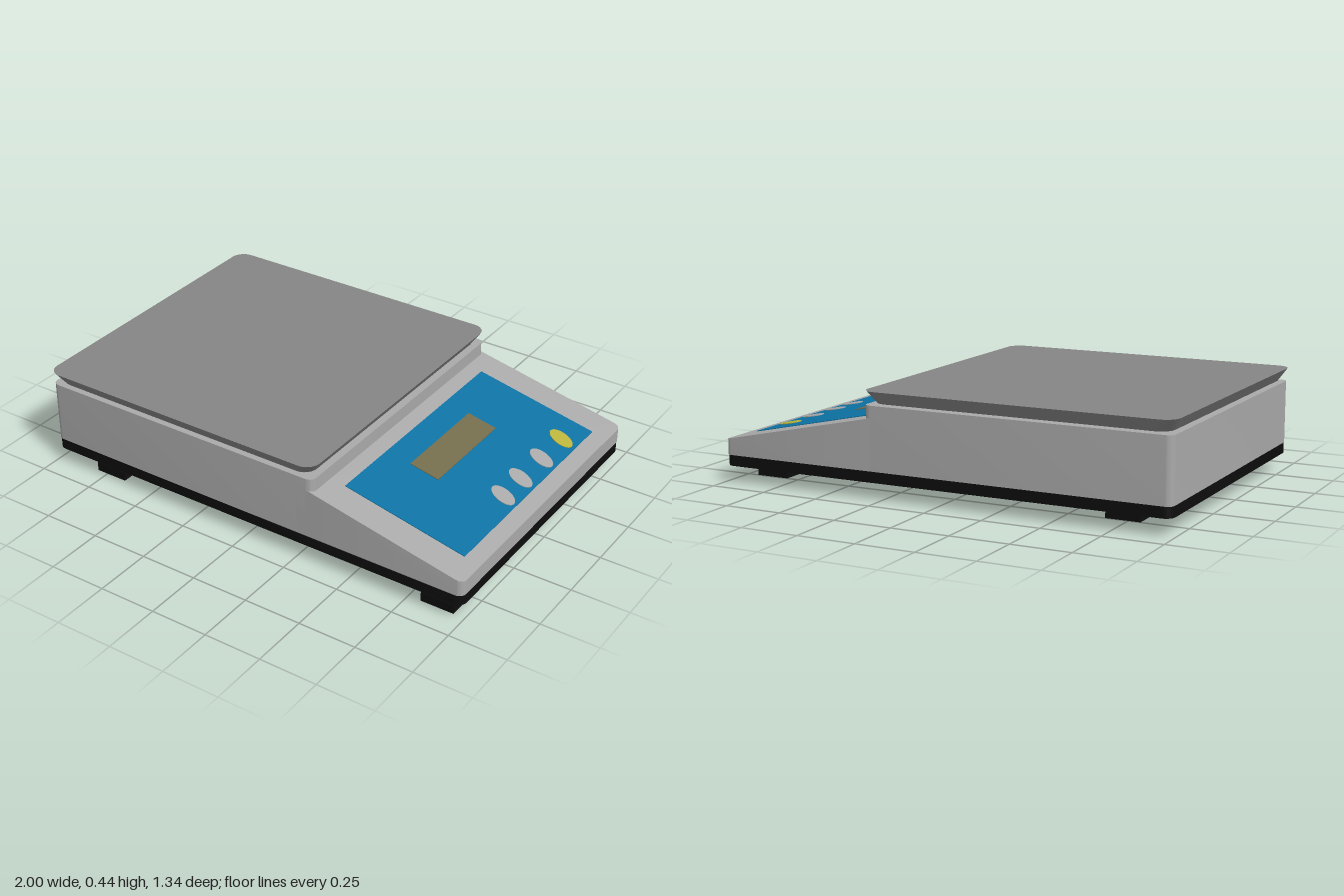
import * as THREE from 'three';
import { toCreasedNormals } from 'three/addons/utils/BufferGeometryUtils.js';

const material = (name, color) => {
  const m = new THREE.MeshStandardMaterial({ color });
  m.name = name;
  return m;
};

// Upright slab with rounded corners; leftR and rightR are the corner radii at each end
function slab(x0, x1, halfZ, y0, y1, leftR, rightR, segments = 4) {
  const s = new THREE.Shape();
  s.moveTo(x0 + leftR, -halfZ);
  s.lineTo(x1 - rightR, -halfZ);
  s.absarc(x1 - rightR, -halfZ + rightR, rightR, -Math.PI / 2, 0);
  s.absarc(x1 - rightR, halfZ - rightR, rightR, 0, Math.PI / 2);
  s.lineTo(x0 + leftR, halfZ);
  if (leftR > 0) {
    s.absarc(x0 + leftR, halfZ - leftR, leftR, Math.PI / 2, Math.PI);
    s.absarc(x0 + leftR, -halfZ + leftR, leftR, Math.PI, Math.PI * 1.5);
  }
  s.closePath();
  const g = new THREE.ExtrudeGeometry(s, { depth: y1 - y0, bevelEnabled: false, curveSegments: segments });
  return g.rotateX(-Math.PI / 2).translate(0, y0, 0);
}

// Move each vertex by a rule, then rebuild the normals
function reshape(geometry, rule) {
  const p = geometry.attributes.position;
  const v = new THREE.Vector3();
  for (let i = 0; i < p.count; i++) {
    rule(v.fromBufferAttribute(p, i));
    p.setXYZ(i, v.x, v.y, v.z);
  }
  geometry.computeVertexNormals();
  return geometry;
}

export function createModel() {
  const model = new THREE.Group();
  model.name = 'weighingScale';

  const housingGrey = material('housing grey', 0xaaaaaa);
  const trayGrey = material('tray grey', 0x868686);
  const black = material('black', 0x0d0d0d);
  const blue = material('panel blue', 0x0d73a5);
  const olive = material('display olive', 0x736d4c);
  const yellow = material('button yellow', 0xbcb53c);

  const add = (name, geometry, mat, parent = model) => {
    const mesh = new THREE.Mesh(geometry, mat);
    mesh.name = name;
    parent.add(mesh);
    return mesh;
  };
  const smooth = (g) => toCreasedNormals(g, 0.5);

  // Base plate and tall housing under the tray
  add('basePlate', smooth(slab(-0.99, 1, 0.66, 0.07, 0.115, 0.04, 0.04)), black);
  add('housing', smooth(slab(-0.99, 0.325, 0.658, 0.115, 0.382, 0.03, 0.03)), housingGrey);

  // Sloping console in front of the step
  const slope = 0.214;
  const slopeY = (x) => 0.33 - slope * (x - 0.3);
  const console = reshape(slab(0.25, 1, 0.658, 0.115, 0.3, 0, 0.03), (v) => {
    if (v.y > 0.2) v.y = slopeY(v.x);
  });
  add('console', smooth(console), housingGrey);

  // Weighing tray, narrowing towards its underside
  const trayX = -0.335;
  const tray = reshape(slab(-1, 0.33, 0.67, 0.388, 0.44, 0.06, 0.06, 3), (v) => {
    if (v.y < 0.41) {
      v.x = trayX + (v.x - trayX) * 0.95;
      v.z *= 0.953;
    }
  });
  add('tray', smooth(tray), trayGrey);
  add('traySupport', new THREE.BoxGeometry(0.5, 0.02, 0.5).translate(trayX, 0.384, 0), black);

  // Feet: narrow stem above a wider pad
  for (const x of [-0.728, 0.878]) {
    for (const z of [0.555, -0.425]) {
      const foot = new THREE.Group();
      foot.name = 'foot';
      foot.position.set(x, 0, z);
      add('footPad', new THREE.BoxGeometry(0.146, 0.04, 0.148).translate(0, 0.02, 0), black, foot);
      add('footStem', new THREE.BoxGeometry(0.11, 0.04, 0.12).translate(0, 0.055, 0), black, foot);
      model.add(foot);
    }
  }

  // Control panel lying on the slope; its local origin is at x = 0.66
  const panel = new THREE.Group();
  panel.name = 'controlPanel';
  panel.position.set(0.66, slopeY(0.66), 0);
  panel.rotation.z = -Math.atan(slope);
  model.add(panel);
  const stretch = Math.hypot(1, slope);
  const plate = (name, x0, x1, z0, z1, top, mat) => {
    const g = new THREE.BoxGeometry((x1 - x0) * stretch, 0.004, z1 - z0);
    g.translate(((x0 + x1) / 2 - 0.66) * stretch, top - 0.002, (z0 + z1) / 2);
    add(name, g, mat, panel);
  };
  plate('panelPlate', 0.39, 0.93, -0.528, 0.526, 0.003, blue);
  plate('display', 0.5, 0.63, -0.232, 0.226, 0.006, olive);

  // Tilted oval buttons
  const buttons = [[0.858, -0.383, yellow], [0.86, -0.208, housingGrey], [0.86, -0.033, housingGrey], [0.862, 0.113, housingGrey]];
  for (const [x, z, mat] of buttons) {
    const g = new THREE.CylinderGeometry(1, 1, 0.004, 24).scale(0.061, 1, 0.037).rotateY(-0.35);
    add('button', g.translate((x - 0.66) * stretch, 0.004, z), mat, panel);
  }

  return model;
}
